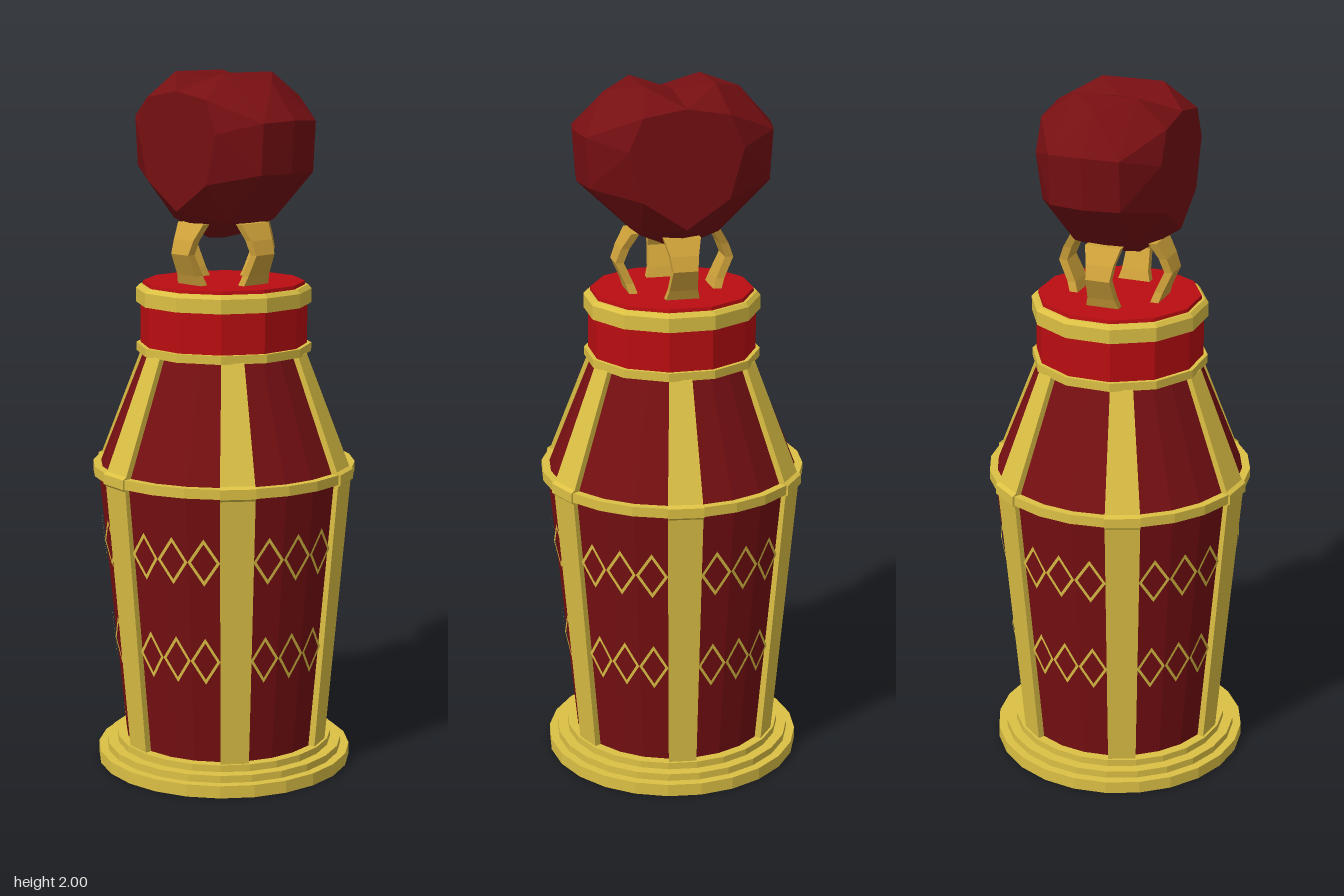
import * as THREE from 'three';
import { ConvexGeometry } from 'three/addons/geometries/ConvexGeometry.js';

const STEP = Math.PI / 12; // the bottle has 24 sides
const mat = (name, color) => {
  const m = new THREE.MeshStandardMaterial({ color });
  m.name = name;
  return m;
};

// Faceted normals
function flat(geometry) {
  const g = geometry.index ? geometry.toNonIndexed() : geometry;
  g.computeVertexNormals();
  return g;
}

// Profile of [radius, y] from bottom to top, turned with few sides
function turned(points, sides, start = 0) {
  const profile = points.map(([r, y]) => new THREE.Vector2(r, y));
  return flat(new THREE.LatheGeometry(profile, sides, start));
}

// Box whose rows of vertices follow a rule: place(side, row, outward) -> [x, y, z]
function strip(rows, place) {
  const g = new THREE.BoxGeometry(1, 1, 1, 1, rows - 1, 1);
  const p = g.attributes.position;
  for (let i = 0; i < p.count; i++) {
    const row = Math.round((p.getY(i) + 0.5) * (rows - 1));
    p.setXYZ(i, ...place(p.getX(i), row, p.getZ(i)));
  }
  return flat(g);
}

export function createModel() {
  const model = new THREE.Group();
  const gold = mat('gold', 0xdcc044);
  const warmGold = mat('warm gold', 0xcfa23a);
  const darkRed = mat('dark red', 0x760f12);
  const red = mat('bright red', 0xba0d11);
  const add = (name, geometry, material) => {
    const mesh = new THREE.Mesh(geometry, material);
    mesh.name = name;
    model.add(mesh);
    return mesh;
  };

  // Stepped foot
  add('base', turned([[0, 0], [0.37, 0], [0.37, 0.036], [0.345, 0.036], [0.345, 0.057],
    [0.315, 0.057], [0.315, 0.077], [0, 0.077]], 24), gold);

  // Glass body and shoulder
  const bodyRadius = (y) => 0.287 + (0.363 - 0.287) * (y - 0.07) / 0.8;
  add('body', turned([[0.287, 0.07], [0.363, 0.87], [0.225, 1.22]], 24), darkRed);
  add('shoulderRing', turned([[0.355, 0.862], [0.378, 0.862], [0.378, 0.89], [0.345, 0.89]], 24), gold);

  // Six straps, each one side wide: [y, outer radius]
  const strap = [[0.07, 0.307], [0.855, 0.376], [0.862, 0.384], [0.89, 0.384], [0.897, 0.372], [1.215, 0.245]];
  for (let k = 0; k < 6; k++) {
    const centre = (0.5 + 4 * k) * STEP;
    add('strap', strip(strap.length, (side, row, out) => {
      const [y, r] = strap[row];
      const radius = out > 0 ? r : r - 0.035;
      const a = centre - side * STEP;
      return [radius * Math.cos(a), y, radius * Math.sin(a)];
    }), gold);
  }

  // Two bands of diamond outlines, three diamonds in each panel
  const rhombus = (Shape, w, h) => new Shape([[-w, 0], [0, -h], [w, 0], [0, h]]
    .map(([x, y]) => new THREE.Vector2(x, y)));
  for (const y0 of [0.675, 0.383]) {
    for (let k = 0; k < 24; k++) {
      if (k % 4 === 0) continue; // strap
      const shape = rhombus(THREE.Shape, 0.5, 0.069);
      shape.holes.push(rhombus(THREE.Path, 0.39, 0.054));
      const g = new THREE.ShapeGeometry(shape);
      const p = g.attributes.position;
      const c = (k + 0.5) * STEP;
      for (let i = 0; i < p.count; i++) {
        const y = y0 + p.getY(i);
        const r = bodyRadius(y) + 0.006;
        const across = p.getX(i) * 2 * r * Math.sin(STEP / 2);
        const out = r * Math.cos(STEP / 2);
        p.setXYZ(i, out * Math.cos(c) + across * Math.sin(c), y, out * Math.sin(c) - across * Math.cos(c));
      }
      add('diamond', flat(g), gold);
    }
  }

  // Twelve-sided neck with two collars
  add('neck', turned([[0.225, 1.2], [0.238, 1.235], [0.238, 1.36], [0.23, 1.413], [0.21, 1.413],
    [0, 1.413]], 12, STEP), red);
  add('lowerCollar', turned([[0.2, 1.212], [0.25, 1.212], [0.25, 1.236], [0.2, 1.236]], 12, STEP), gold);
  add('upperCollar', turned([[0.2, 1.352], [0.25, 1.352], [0.25, 1.392], [0.24, 1.403], [0.2, 1.403]],
    12, STEP), gold);

  // Four bent prongs: [y, radius, half width]
  const prong = [[1.405, 0.118, 0.05], [1.44, 0.13, 0.04], [1.5, 0.157, 0.035], [1.54, 0.142, 0.04], [1.585, 0.115, 0.052]];
  for (let k = 0; k < 4; k++) {
    const mesh = add('prong', strip(prong.length, (side, row, out) => {
      const [y, r, w] = prong[row];
      return [side * 2 * w, y, r + out * 0.024];
    }), warmGold);
    mesh.rotation.y = k * Math.PI / 2;
  }

  // Faceted stopper: two mirrored lobes meeting in a shallow valley
  const facets = [
    [0.18, 1.95, 0], [0, 1.975, 0], [0.18, 1.62, 0], [0.06, 1.54, 0], [0, 1.535, 0],
    [0.09, 2, 0.1], [0, 1.975, 0.19], [0.18, 1.93, 0.12], [0.18, 1.84, 0.16],
    [0.1, 1.87, 0.262], [0, 1.875, 0.28], [0.1, 1.73, 0.253], [0, 1.73, 0.268],
    [0.18, 1.7, 0.12], [0.09, 1.59, 0.11], [0, 1.59, 0.12],
  ];
  for (const s of [1, -1]) {
    const points = facets.flatMap(([x, y, z]) => [1, -1].map((m) => new THREE.Vector3(x * m, y, z * s)))
      .filter((v, i) => v.x !== 0 || i % 2 === 0);
    add('stopperLobe', new ConvexGeometry(points), darkRed);
  }
  return model;
}
